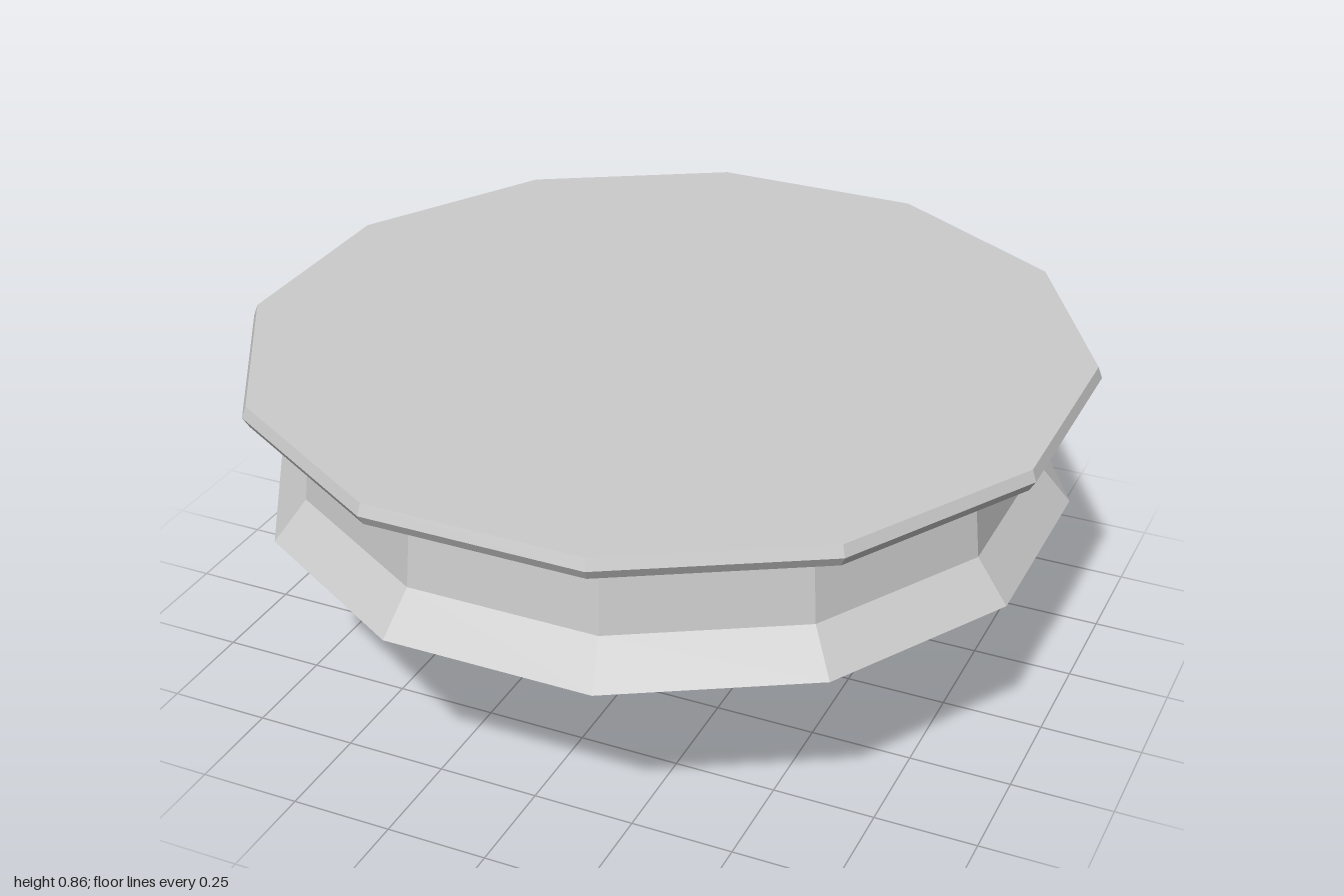
import * as THREE from 'three';
import { ConvexGeometry } from 'three/addons/geometries/ConvexGeometry.js';

const SIDES = 12;
const material = new THREE.MeshStandardMaterial({ color: 0xcccccc, flatShading: true });

// Faceted solid of revolution; profile widths are measured to the flats.
function turned(name, profile) {
  const k = 1 / Math.cos(Math.PI / SIDES);
  const points = profile.map(([r, y]) => new THREE.Vector2(r * k, y));
  const mesh = new THREE.Mesh(new THREE.LatheGeometry(points, SIDES, Math.PI / SIDES), material);
  mesh.name = name;
  return mesh;
}

// Angular rock: hull of a few corner points.
function rock(name, corners) {
  const mesh = new THREE.Mesh(new ConvexGeometry(corners.map((c) => new THREE.Vector3(...c))), material);
  mesh.name = name;
  return mesh;
}

export function createModel() {
  const group = new THREE.Group();
  group.name = 'rockyPlatform';

  // Bevelled top slab
  group.add(turned('topSlab', [[0, 0.806], [0.985, 0.806], [1, 0.832], [0.99, 0.86], [0, 0.86]]));

  // Hollow waisted skirt: up the outside, down the inside, closed at the lower rim
  group.add(turned('skirt', [
    [0.91, 0.483], [0.955, 0.492], [0.875, 0.59], [0.86, 0.73], [0.915, 0.808],
    [0.87, 0.808], [0.815, 0.73], [0.83, 0.59], [0.91, 0.483],
  ]));

  // Rocks hanging under the slab
  group.add(rock('centreRock', [
    [-0.055, 0, -0.065], [0.065, 0.07, -0.07], [0.02, 0.09, 0.03], [-0.22, 0.15, -0.225],
    [-0.28, 0.22, 0], [0.015, 0.23, 0.2], [0.21, 0.26, 0.05], [0.17, 0.26, -0.115],
    [0.25, 0.4, -0.04], [-0.16, 0.32, 0.21], [-0.13, 0.33, -0.29], [-0.3, 0.36, 0.05],
    [0.14, 0.38, 0.23], [-0.14, 0.5, 0.25], [0.14, 0.5, 0.25], [-0.09, 0.54, -0.29],
    [0.09, 0.6, -0.27], [-0.2, 0.82, -0.1], [0.1, 0.82, -0.15], [-0.15, 0.82, 0.22],
    [0.15, 0.82, 0.2],
  ]));
  group.add(rock('leftRock', [
    [0.47, 0.22, 0.33], [0.26, 0.235, 0.28], [0.31, 0.22, 0.11], [0.58, 0.42, 0.13],
    [0.41, 0.41, 0.4], [0.59, 0.5, 0.15], [0.14, 0.38, 0.25], [0.25, 0.48, 0.385],
    [0.21, 0.45, -0.05], [0.14, 0.6, -0.28], [0.18, 0.7, -0.25], [0.56, 0.68, -0.05],
    [0.4, 0.82, 0.1], [0.2, 0.82, 0.3], [0.2, 0.82, 0],
  ]));
  group.add(rock('leftBackRock', [
    [0.28, 0.82, -0.28], [0.14, 0.6, -0.29], [0.3, 0.75, -0.13],
    [0.05, 0.7, -0.15], [0.05, 0.82, -0.28], [0.2, 0.82, -0.05],
  ]));
  group.add(rock('rightRock', [
    [-0.48, 0.42, 0.08], [-0.3, 0.36, 0.12], [-0.42, 0.52, 0.25], [-0.15, 0.48, 0.28],
    [-0.45, 0.55, 0.14], [-0.25, 0.45, -0.02], [-0.4, 0.82, 0.2], [-0.15, 0.82, 0.3],
    [-0.35, 0.82, 0.08], [-0.1, 0.82, 0],
  ]));
  group.add(rock('backRock', [
    [-0.24, 0.6, -0.36], [-0.05, 0.6, -0.3], [0.1, 0.62, -0.29], [-0.15, 0.82, -0.46],
    [-0.38, 0.8, -0.31], [0.11, 0.82, -0.37], [-0.2, 0.6, -0.2], [-0.2, 0.82, -0.1],
    [0.1, 0.7, -0.2],
  ]));
  return group;
}
